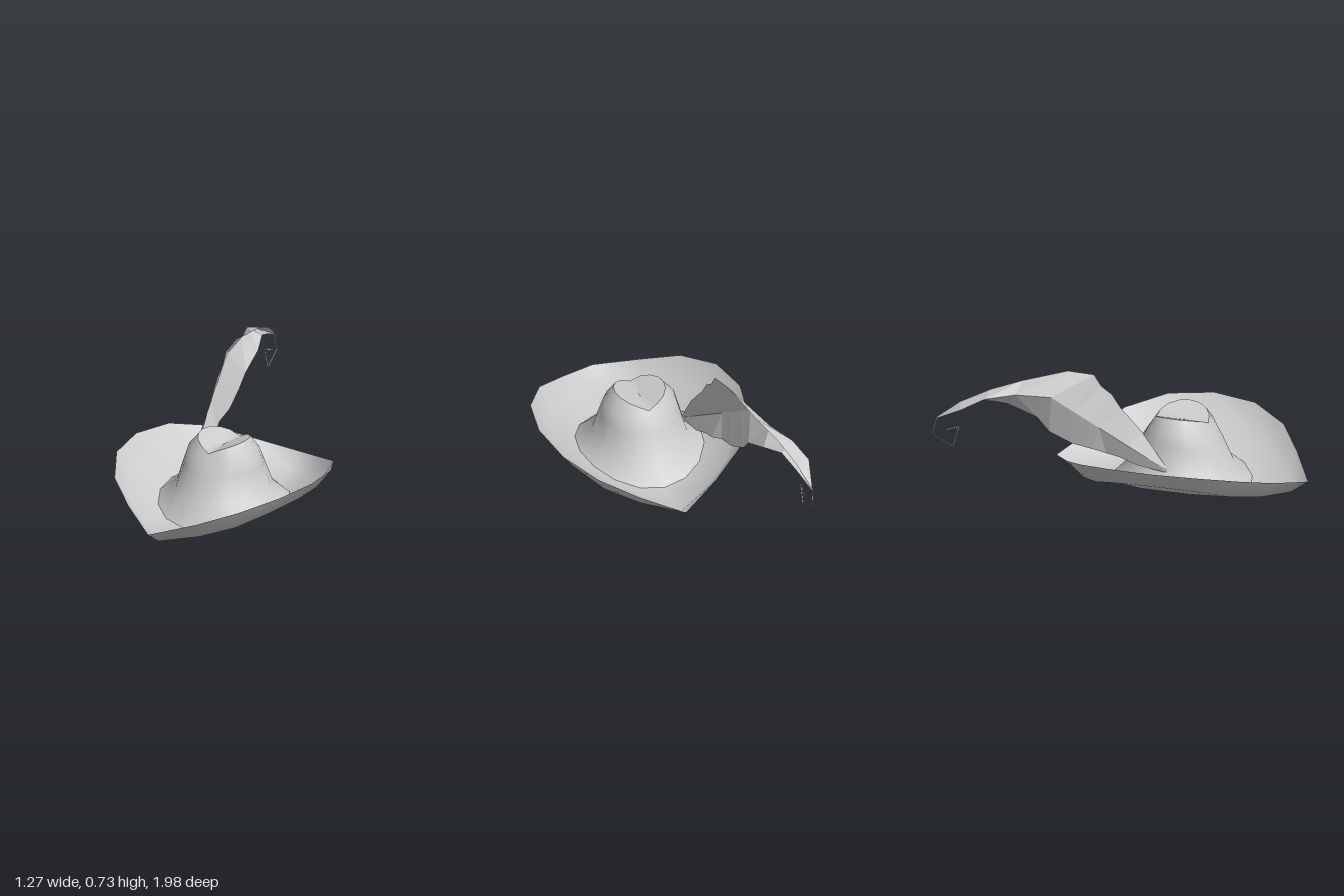
import * as THREE from 'three';

const mat = (flat) => new THREE.MeshStandardMaterial({ color: 0xcccccc, side: THREE.DoubleSide, flatShading: flat });
const SIDES = 16;

function surface(name, points, index, flat) {
  const g = new THREE.BufferGeometry().setFromPoints(points);
  g.setIndex(index);
  g.computeVertexNormals();
  const mesh = new THREE.Mesh(g, mat(flat));
  mesh.name = name;
  return mesh;
}

// Skin a list of closed rings with smooth normals
function loft(name, rings) {
  const index = [];
  for (let r = 0; r < rings.length - 1; r++) {
    for (let i = 0; i < SIDES; i++) {
      const a = r * SIDES + i, b = r * SIDES + (i + 1) % SIDES;
      index.push(a, b, a + SIDES, b, b + SIDES, a + SIDES);
    }
  }
  return surface(name, rings.flat(), index, false);
}

// Ring mirrored from a quarter outline of [half width, half length, height], tip to side
function mirroredRing(quarter, scale = 1, heights = null, tilt = 0) {
  return Array.from({ length: SIDES }, (_, i) => {
    const k = i % 8, j = k <= 4 ? k : 8 - k;
    const [w, u, y] = quarter[j];
    const sx = i < 8 ? 1 : -1, sz = i <= 4 || i >= 12 ? 1 : -1;
    // index 8 is the back tip, so outline index counts from the nearest tip
    const z = sz * u * scale;
    return new THREE.Vector3(sx * w * scale, (heights ? heights[j] : y) + tilt * z, z);
  });
}

// Oval ring whose height runs from front/back value to side value
function ovalRing(w, u, ySide, yTip, power = 2) {
  return Array.from({ length: SIDES }, (_, i) => {
    const t = (i / SIDES) * Math.PI * 2, s = Math.sin(t);
    return new THREE.Vector3(w * s, yTip + (ySide - yTip) * Math.abs(s) ** power, u * Math.cos(t));
  });
}

function makeHat() {
  const hat = new THREE.Group();
  hat.name = 'hat';
  const outline = [[0, 0.735, 0.083], [0.23, 0.6, 0.155], [0.42, 0.463, 0.228], [0.555, 0.253, 0.28], [0.6, 0, 0.295]];
  const base = ovalRing(0.355, 0.398, 0.09, 0.017);

  // Upturned brim, pointed at front and back
  hat.add(loft('brim', [
    mirroredRing(outline, 1, null, 0.017),
    mirroredRing(outline, 0.86, [0.012, 0.05, 0.105, 0.165, 0.185], 0.012),
    base,
  ]));

  // Crown, flared at the base
  const rim = ovalRing(0.145, 0.152, 0.44, 0.378, 0.8);
  hat.add(loft('crown', [
    base,
    ovalRing(0.262, 0.29, 0.155, 0.13),
    ovalRing(0.226, 0.228, 0.29, 0.27),
    ovalRing(0.203, 0.19, 0.37, 0.33, 1),
    rim,
  ]));

  // Creased cap: a valley from front to back
  const capRings = [1, 0.5, 0.001].map((s) => rim.map((p) =>
    new THREE.Vector3(p.x * s, s === 1 ? p.y : 0.383 + 0.06 * Math.abs(p.x * s) / 0.145, p.z * s)));
  hat.add(loft('crownTop', capRings));

  hat.rotation.y = 0.071;
  hat.position.set(0.033, 0, 0.255);
  return hat;
}

function makeFeather() {
  const feather = new THREE.Group();
  feather.name = 'feather';
  const V = (x, y, z) => new THREE.Vector3(x, y, z);
  const root = V(-0.215, 0.16, 0.28), knee = V(-0.43, 0.605, -0.35), tip = V(-0.608, 0.455, -0.965);
  const spine = [V(-0.49, 0.615, -0.54), V(-0.575, 0.6, -0.69), V(-0.635, 0.54, -0.81), tip];
  const along = (t) => root.clone().lerp(knee, t);

  // A vane spans the spine and a ragged outer edge
  function vane(name, stations, edge) {
    const inner = [...stations.map(along), ...spine];
    const points = [], index = [];
    inner.forEach((p, i) => {
      points.push(p, V(...edge[i]));
      if (i > 0) index.push(2 * i - 2, 2 * i, 2 * i - 1, 2 * i, 2 * i + 1, 2 * i - 1);
    });
    feather.add(surface(name, points, index, true));
  }
  vane('upperVane', [0, 0.2, 0.35, 0.5, 0.6, 0.7, 0.8, 1], [
    [-0.213, 0.17, 0.27], [-0.223, 0.39, 0.11], [-0.24, 0.455, 0.06], [-0.255, 0.525, 0],
    [-0.265, 0.605, -0.05], [-0.275, 0.65, -0.11], [-0.285, 0.718, -0.15], [-0.325, 0.735, -0.29],
    [-0.41, 0.673, -0.53], [-0.485, 0.625, -0.69], [-0.55, 0.55, -0.85], [-0.604, 0.458, -0.97],
  ]);
  vane('lowerVane', [0, 0.2, 0.35, 0.5, 0.6, 0.7, 0.85, 1], [
    [-0.22, 0.158, 0.27], [-0.25, 0.19, 0.1], [-0.275, 0.235, 0], [-0.29, 0.255, -0.075],
    [-0.325, 0.282, -0.14], [-0.35, 0.31, -0.26], [-0.382, 0.375, -0.38], [-0.39, 0.455, -0.45],
    [-0.43, 0.527, -0.61], [-0.5, 0.557, -0.73], [-0.55, 0.51, -0.85], [-0.6, 0.45, -0.965],
  ]);

  // Thin hooked end
  const hook = [tip, V(-0.605, 0.355, -0.992), V(-0.58, 0.287, -0.88), V(-0.576, 0.41, -0.843), V(-0.58, 0.38, -0.92)];
  const path = new THREE.CurvePath();
  for (let i = 1; i < hook.length; i++) path.add(new THREE.LineCurve3(hook[i - 1], hook[i]));
  const wire = new THREE.Mesh(new THREE.TubeGeometry(path, 40, 0.004, 3), mat(true));
  wire.name = 'featherTip';
  feather.add(wire);
  return feather;
}

export function createModel() {
  const group = new THREE.Group();
  group.name = 'featheredHat';
  group.add(makeHat(), makeFeather());
  return group;
}
